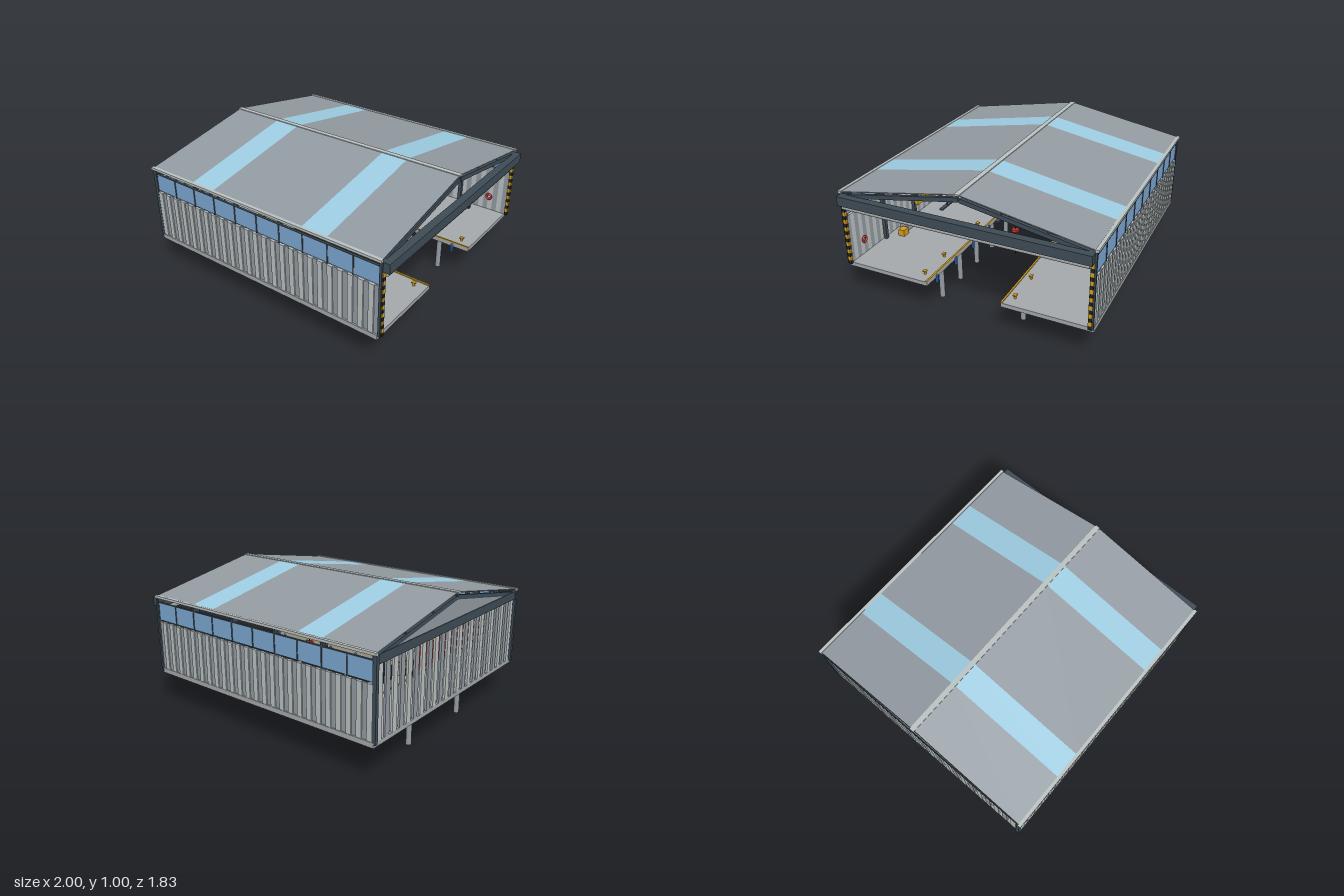
import * as THREE from 'three';

const mat = (name, color) => {
  const m = new THREE.MeshStandardMaterial({ color });
  m.name = name;
  return m;
};

export function createModel() {
  const M = {
    light: mat('lightSiding', 0xb9c1c0),
    grey: mat('roofGrey', 0x929aa1),
    steel: mat('darkSteel', 0x3d4b55),
    yellow: mat('safetyYellow', 0xd39b1c),
    red: mat('red', 0xc8342f),
    black: mat('black', 0x1e2222),
    blue: mat('fenderBlue', 0x1f4f8f),
    glass: mat('windowGlass', 0x7aa5cf),
    sky: mat('skylight', 0x9ccbe0),
    deck: mat('galvanisedGrey', 0xa3a7a9),
  };
  const root = new THREE.Group();
  root.name = 'boathouse';

  const add = (name, geo, m, x, y, z, parent = root) => {
    const mesh = new THREE.Mesh(geo, m);
    mesh.name = name;
    mesh.position.set(x, y, z);
    parent.add(mesh);
    return mesh;
  };
  // box given by its extents on each axis
  const box = (name, m, x0, x1, y0, y1, z0, z1, parent = root) =>
    add(name, new THREE.BoxGeometry(x1 - x0, y1 - y0, Math.abs(z1 - z0)), m,
      (x0 + x1) / 2, (y0 + y1) / 2, (z0 + z1) / 2, parent);
  const cyl = (name, m, r, y0, y1, x, z, n = 16, parent = root) =>
    add(name, new THREE.CylinderGeometry(r, r, y1 - y0, n), m, x, (y0 + y1) / 2, z, parent);
  const group = (name) => {
    const g = new THREE.Group();
    g.name = name;
    root.add(g);
    return g;
  };
  const sides = [1, -1];
  const frames = [-0.6, -0.215, 0.165, 0.55];

  // U-shaped deck around the slip
  for (const s of sides) box('sideDeck', M.deck, -0.985, 0.935, 0.25, 0.28, s * 0.275, s * 0.9);
  box('endDeck', M.deck, -0.985, -0.6, 0.25, 0.28, -0.275, 0.275);
  for (const s of sides) {
    box('slipKerb', M.yellow, -0.6, 0.935, 0.28, 0.287, s * 0.275, s * 0.287);
    for (const x of [-0.4, 0.1, 0.6, 0.85]) {
      cyl('bollard', M.yellow, 0.008, 0.28, 0.305, x, s * 0.34, 10);
      box('bollardTop', M.yellow, x - 0.014, x + 0.014, 0.302, 0.31, s * 0.34 - 0.012, s * 0.34 + 0.012);
    }
    for (let i = 0; i < 7; i++) {
      cyl('pile', M.grey, 0.019, 0, 0.25, -0.855 + i * 0.256, s * 0.32);
      const f = add('fender', new THREE.CapsuleGeometry(0.012, 0.05, 4, 12), M.blue, -0.73 + i * 0.256, 0.235, s * 0.277);
      f.name = 'fender';
    }
  }
  box('endKerb', M.yellow, -0.612, -0.6, 0.28, 0.287, -0.275, 0.275);

  // boat ramp sloping into the slip
  const ramp = add('ramp', new THREE.BoxGeometry(0.24, 0.014, 0.55), M.deck, -0.485, 0.2, 0);
  ramp.rotation.z = -Math.atan2(0.06, 0.23);

  // slip ladder
  const ladder = group('ladder');
  for (const x of [0.53, 0.57]) cyl('ladderRail', M.deck, 0.003, 0.16, 0.3, x, -0.267, 8, ladder);
  for (let i = 0; i < 5; i++) box('ladderRung', M.deck, 0.53, 0.57, 0.17 + i * 0.025, 0.175 + i * 0.025, -0.27, -0.264, ladder);

  // long walls: ribbed siding, window band and posts
  for (const s of sides) {
    const wall = group(s > 0 ? 'frontWall' : 'backWall');
    const n = 50, w = 1.91 / n;
    for (let i = 0; i < n; i++) {
      const out = i % 2 ? 0.896 : 0.904;
      box('sidingRib', i % 2 ? M.grey : M.light, -0.97 + i * w, -0.97 + (i + 1) * w, 0.28, 0.643, s * 0.885, s * out, wall);
    }
    box('baseRail', M.deck, -0.985, 0.935, 0.25, 0.285, s * 0.895, s * 0.907, wall);
    box('windowBand', M.glass, -0.975, 0.94, 0.655, 0.785, s * 0.888, s * 0.897, wall);
    for (let i = 0; i <= 10; i++) {
      const x = -0.975 + i * 0.1915;
      box('mullion', M.steel, x - 0.005, x + 0.005, 0.65, 0.787, s * 0.883, s * 0.901, wall);
    }
    box('windowHead', M.steel, -0.975, 0.94, 0.783, 0.789, s * 0.885, s * 0.9, wall);
    for (const x of frames) box('wallPost', M.steel, x - 0.013, x + 0.013, 0.28, 0.83, s * 0.858, s * 0.884, wall);
    box('cornerPost', M.steel, -0.997, -0.97, 0.27, 0.82, s * 0.88, s * 0.905, wall);
    box('doorPost', M.steel, 0.938, 0.955, 0.28, 0.82, s * 0.88, s * 0.908, wall);
    // hazard striped door jamb
    for (let i = 0; i < 16; i++) {
      const y = 0.28 + i * 0.029;
      box('hazardStripe', i % 2 ? M.yellow : M.black, 0.94, 0.962, y, y + 0.029, s * 0.874, s * 0.898, wall);
    }
  }

  // end wall of spaced slats with a gable
  const endWall = group('endWall');
  for (let i = 0; i < 23; i++) {
    const z = -0.845 + i * 0.0768;
    box('endSlat', i % 2 ? M.grey : M.light, -0.985, -0.97, 0.28, 0.765, z - 0.022, z + 0.022, endWall);
  }
  box('endBeam', M.steel, -0.992, -0.965, 0.76, 0.82, -0.9, 0.9, endWall);
  const tri = new THREE.Shape([[-0.88, 0.815], [0.88, 0.815], [0, 0.965]].map((p) => new THREE.Vector2(...p)));
  const gable = add('gablePanel', new THREE.ExtrudeGeometry(tri, { depth: 0.012, bevelEnabled: false }), M.grey, -0.987, 0, 0, endWall);
  gable.rotation.y = Math.PI / 2;

  // red framed board with tabs on the end wall
  const board = group('wallBoard');
  box('boardFrame', M.red, -0.968, -0.945, 0.58, 0.72, -0.445, 0.445, board);
  box('boardFace', M.black, -0.946, -0.94, 0.6, 0.706, -0.42, 0.42, board);
  for (let i = 0; i < 6; i++) {
    const z = -0.39 + i * 0.156;
    box('boardTab', M.light, -0.966, -0.945, 0.555, 0.58, z - 0.03, z + 0.03, board);
  }

  // header beam and door roller over the open end
  box('headerBeam', M.steel, 0.945, 1, 0.752, 0.82, -0.895, 0.895);
  const roller = add('doorRoller', new THREE.CylinderGeometry(0.017, 0.017, 1.75, 20), M.deck, 0.968, 0.733, 0);
  roller.rotation.x = Math.PI / 2;

  // roof slopes, with skylight bands, purlins and rafters
  const tilt = Math.atan2(0.165, 0.91), len = Math.hypot(0.165, 0.91);
  const bands = [-0.99, -0.595, -0.4, 0.36, 0.555, 0.95];
  for (const s of sides) {
    const slope = group(s > 0 ? 'frontRoof' : 'backRoof');
    slope.position.set(0, 0.9125, s * 0.455);
    slope.rotation.x = s * tilt;
    for (let i = 0; i < 5; i++) {
      box(i % 2 ? 'skylight' : 'roofPanel', i % 2 ? M.sky : M.grey, bands[i], bands[i + 1], -0.003, 0.003, -len / 2, len / 2, slope);
    }
    for (const d of [-0.15, 0.16]) box('purlin', M.steel, -0.985, 0.94, -0.018, -0.004, d - 0.006, d + 0.006, slope);
    for (const x of [-0.978, ...frames, 0.94]) {
      box('rafter', M.steel, x - 0.011, x + 0.011, -0.048, -0.018, -len / 2, len / 2 - 0.02, slope);
    }
    box('gutter', M.light, -1, 0.955, 0.822, 0.84, s * 0.893, s * 0.917);
  }
  box('ridgeCap', M.light, -1, 0.955, 0.988, 1, -0.018, 0.018);

  // roof ties, hanging lamps and crane rails
  for (const x of frames) {
    box('tieBeam', M.steel, x - 0.009, x + 0.009, 0.79, 0.812, -0.87, 0.87);
    box('kingPost', M.steel, x - 0.008, x + 0.008, 0.81, 0.955, -0.008, 0.008);
  }
  for (let i = 0; i < 5; i++) {
    const x = -0.79 + i * 0.384;
    for (const z of [-0.6, -0.2, 0.2, 0.6]) {
      box('lamp', M.steel, x - 0.075, x + 0.075, 0.786, 0.796, z - 0.012, z + 0.012);
      cyl('lampHanger', M.steel, 0.003, 0.79, 0.86, x, z, 6);
    }
  }
  for (const s of sides) box('craneRail', M.yellow, -0.96, 0.77, 0.755, 0.79, s * 0.41, s * 0.435);

  // travelling crane with hook
  const crane = group('crane');
  box('craneBridge', M.steel, 0.22, 0.26, 0.728, 0.755, -0.44, 0.44, crane);
  box('craneTrolley', M.steel, 0.205, 0.275, 0.695, 0.73, -0.08, -0.02, crane);
  cyl('hoistRope', M.black, 0.003, 0.21, 0.7, 0.24, -0.05, 6, crane);
  box('hookBlock', M.red, 0.22, 0.26, 0.395, 0.415, -0.072, -0.028, crane);

  // forklift on the front deck
  const lift = group('forklift');
  box('forkliftBody', M.yellow, -0.5, -0.36, 0.3, 0.36, 0.67, 0.75, lift);
  box('forkliftCounterweight', M.yellow, -0.5, -0.45, 0.36, 0.42, 0.68, 0.74, lift);
  for (const z of [0.68, 0.74]) {
    box('forkliftMast', M.black, -0.355, -0.343, 0.285, 0.48, z - 0.005, z + 0.005, lift);
    box('fork', M.black, -0.343, -0.25, 0.288, 0.295, z - 0.007, z + 0.007, lift);
    box('cabPost', M.black, -0.49, -0.48, 0.36, 0.46, z - 0.004, z + 0.004, lift);
    for (const x of [-0.47, -0.385]) {
      const wheel = add('forkliftWheel', new THREE.CylinderGeometry(0.021, 0.021, 0.02, 16), M.black, x, 0.301, z, lift);
      wheel.rotation.x = Math.PI / 2;
    }
  }
  box('cabRoof', M.black, -0.495, -0.34, 0.458, 0.466, 0.675, 0.745, lift);

  // stores along the walls
  box('cabinet', M.grey, 0.3, 0.4, 0.28, 0.395, 0.785, 0.85);
  box('yellowCrate', M.yellow, 0.42, 0.48, 0.28, 0.33, 0.76, 0.81);
  for (let i = 0; i < 3; i++) cyl('tyreStack', M.black, 0.028, 0.281 + i * 0.026, 0.304 + i * 0.026, 0.65, -0.81, 20);
  cyl('tyreStackTop', M.black, 0.02, 0.355, 0.39, 0.65, -0.81, 20);
  cyl('extinguisher', M.red, 0.013, 0.285, 0.33, 0.25, -0.85);
  for (const s of sides) {
    add('lifeRing', new THREE.TorusGeometry(0.02, 0.008, 10, 24), M.red, 0.8, 0.4, s * 0.868);
  }
  return root;
}
